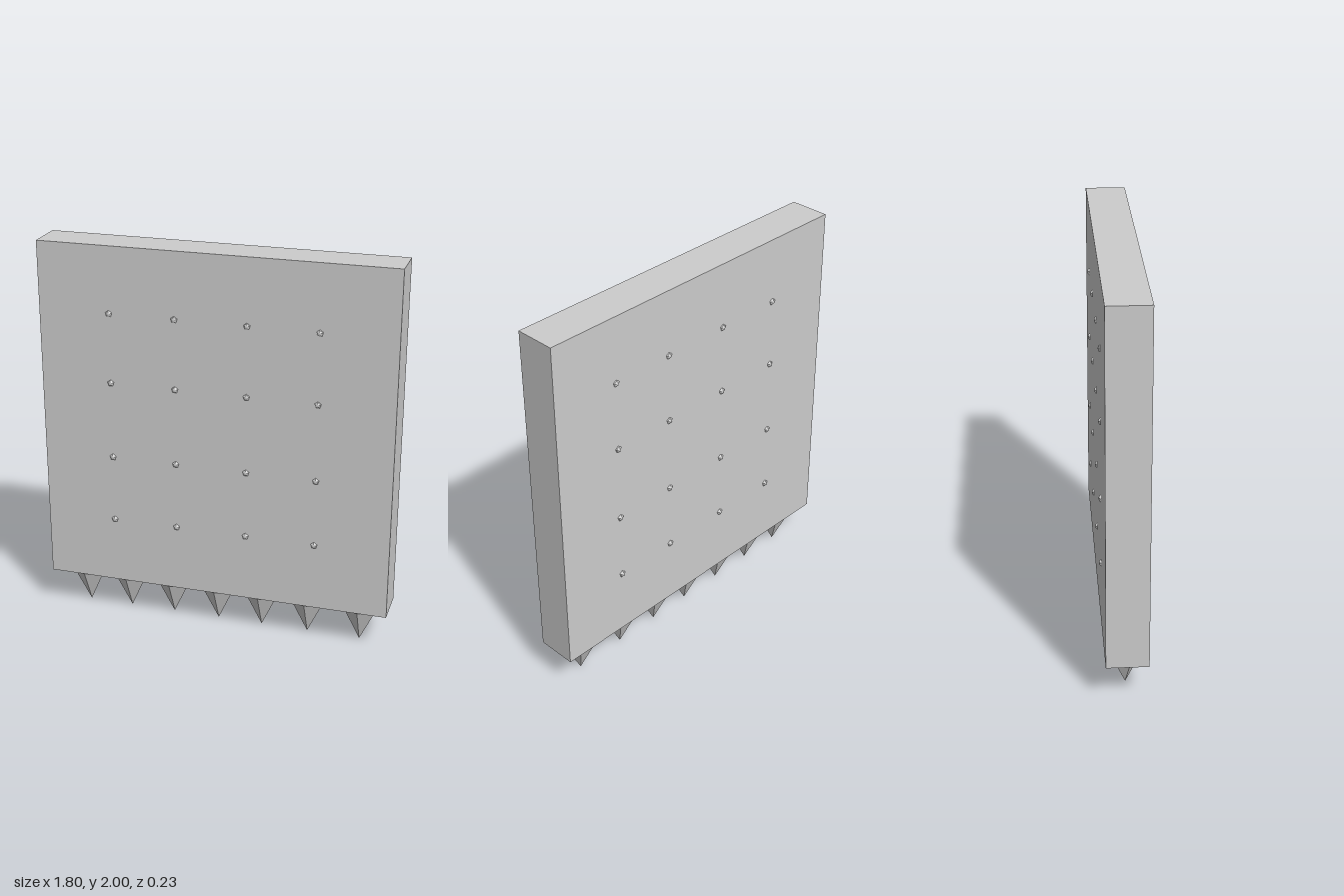
import * as THREE from 'three';

export function createModel() {
  const model = new THREE.Group();
  const material = new THREE.MeshStandardMaterial({ color: 0xcccccc, flatShading: true });
  const depth = 0.206;

  const add = (parent, name, geometry, x, y, z) => {
    const mesh = new THREE.Mesh(geometry, material);
    mesh.name = name;
    mesh.position.set(x, y, z);
    parent.add(mesh);
  };

  // Thick square panel
  add(model, 'panel', new THREE.BoxGeometry(1.8, 1.8, depth), 0, 1.1, 0);

  // Row of five-sided spikes pointing down, one corner to the front
  const spikes = new THREE.Group();
  spikes.name = 'spikes';
  const spikeGeometry = new THREE.ConeGeometry(0.096, 0.2, 5).rotateZ(Math.PI);
  for (const x of [-0.725, -0.49, -0.25, -0.005, 0.23, 0.475, 0.75]) {
    add(spikes, 'spike', spikeGeometry, x, 0.1, 0);
  }
  model.add(spikes);

  // Small five-sided rivet domes; the back grid is the front one turned around
  const rivetGeometry = new THREE.SphereGeometry(0.018, 5, 3, -Math.PI / 2, Math.PI * 2, 0, Math.PI / 2)
    .scale(1, 0.6, 1)
    .rotateX(Math.PI / 2);
  for (const [name, turn] of [['frontRivets', 0], ['backRivets', Math.PI]]) {
    const rivets = new THREE.Group();
    rivets.name = name;
    rivets.rotation.y = turn;
    for (const y of [0.55, 0.9, 1.3, 1.66]) {
      for (const x of [-0.535, -0.2, 0.165, 0.52]) {
        add(rivets, 'rivet', rivetGeometry, x, y, depth / 2);
      }
    }
    model.add(rivets);
  }

  return model;
}
